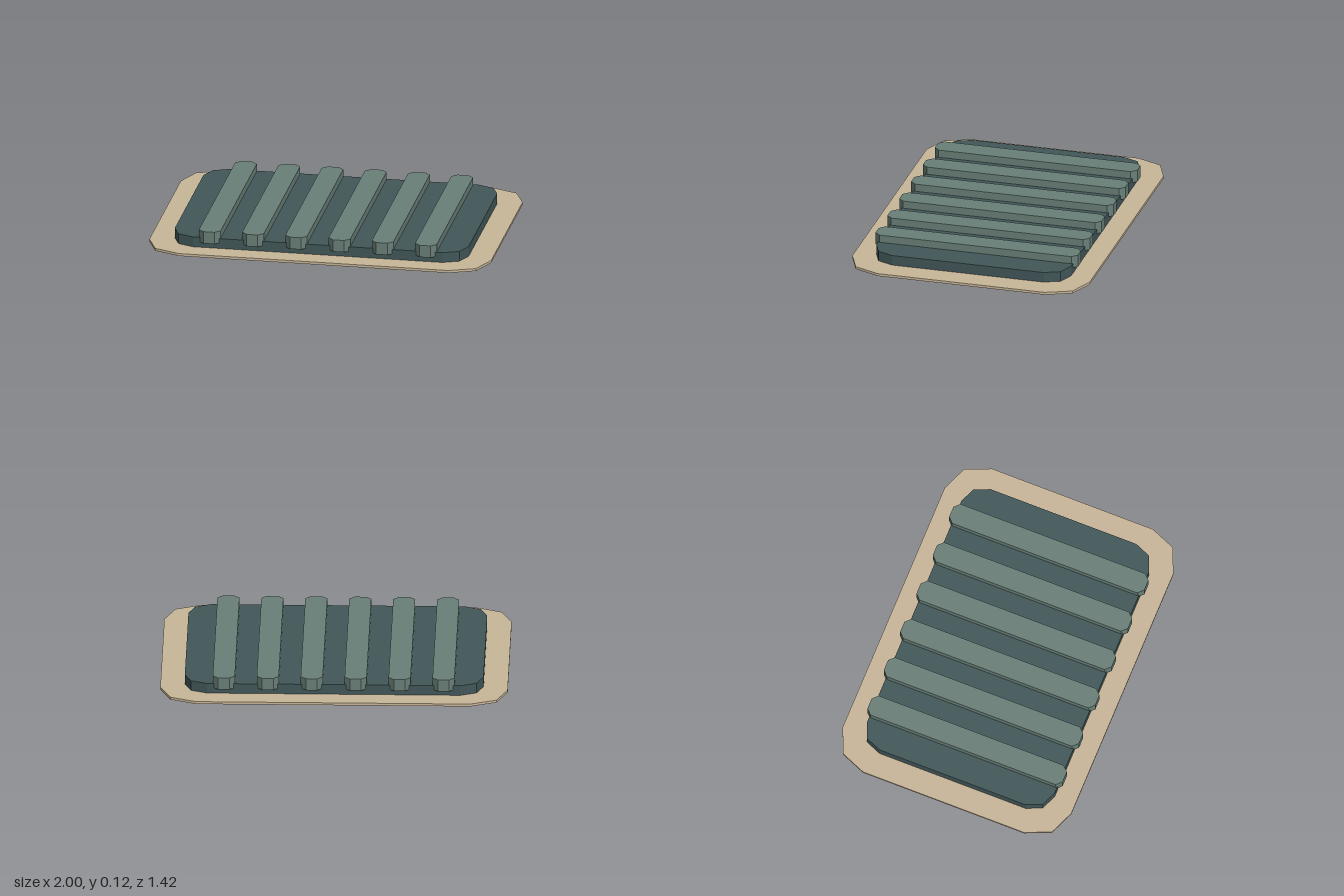
import * as THREE from 'three';

// Slab lying flat, with each corner cut into a few straight segments
function slab(halfX, halfZ, radius, segments, y0, y1, material, name) {
  const points = [];
  const centres = [[1, 1], [-1, 1], [-1, -1], [1, -1]];
  centres.forEach(([sx, sz], corner) => {
    for (let i = 0; i <= segments; i++) {
      const a = (corner + i / segments) * Math.PI / 2;
      points.push(new THREE.Vector2(
        sx * (halfX - radius) + Math.cos(a) * radius,
        sz * (halfZ - radius) + Math.sin(a) * radius
      ));
    }
  });
  const geometry = new THREE.ExtrudeGeometry(new THREE.Shape(points), { depth: y1 - y0, bevelEnabled: false });
  geometry.rotateX(-Math.PI / 2);
  geometry.translate(0, y0, 0);
  const mesh = new THREE.Mesh(geometry, material);
  mesh.name = name;
  return mesh;
}

export function createModel() {
  const flat = (name, color) => {
    const material = new THREE.MeshStandardMaterial({ color, flatShading: true });
    material.name = name;
    return material;
  };
  const tan = flat('tan', 0xc8b698);
  const darkTeal = flat('dark teal', 0x425759);
  const greyGreen = flat('grey green', 0x697f77);

  const group = new THREE.Group();
  group.name = 'ribbedPad';

  // Thin base and raised pad
  group.add(slab(1, 0.709, 0.21, 2, 0, 0.015, tan, 'base'));
  group.add(slab(0.86, 0.582, 0.13, 2, 0.015, 0.075, darkTeal, 'pad'));

  // Six ribs across the pad, overhanging its front and back
  for (let i = 0; i < 6; i++) {
    const rib = slab(0.0635, 0.605, 0.031, 1, 0.048, 0.12, greyGreen, `rib${i + 1}`);
    rib.position.x = (i - 2.5) * 0.253;
    group.add(rib);
  }
  return group;
}
